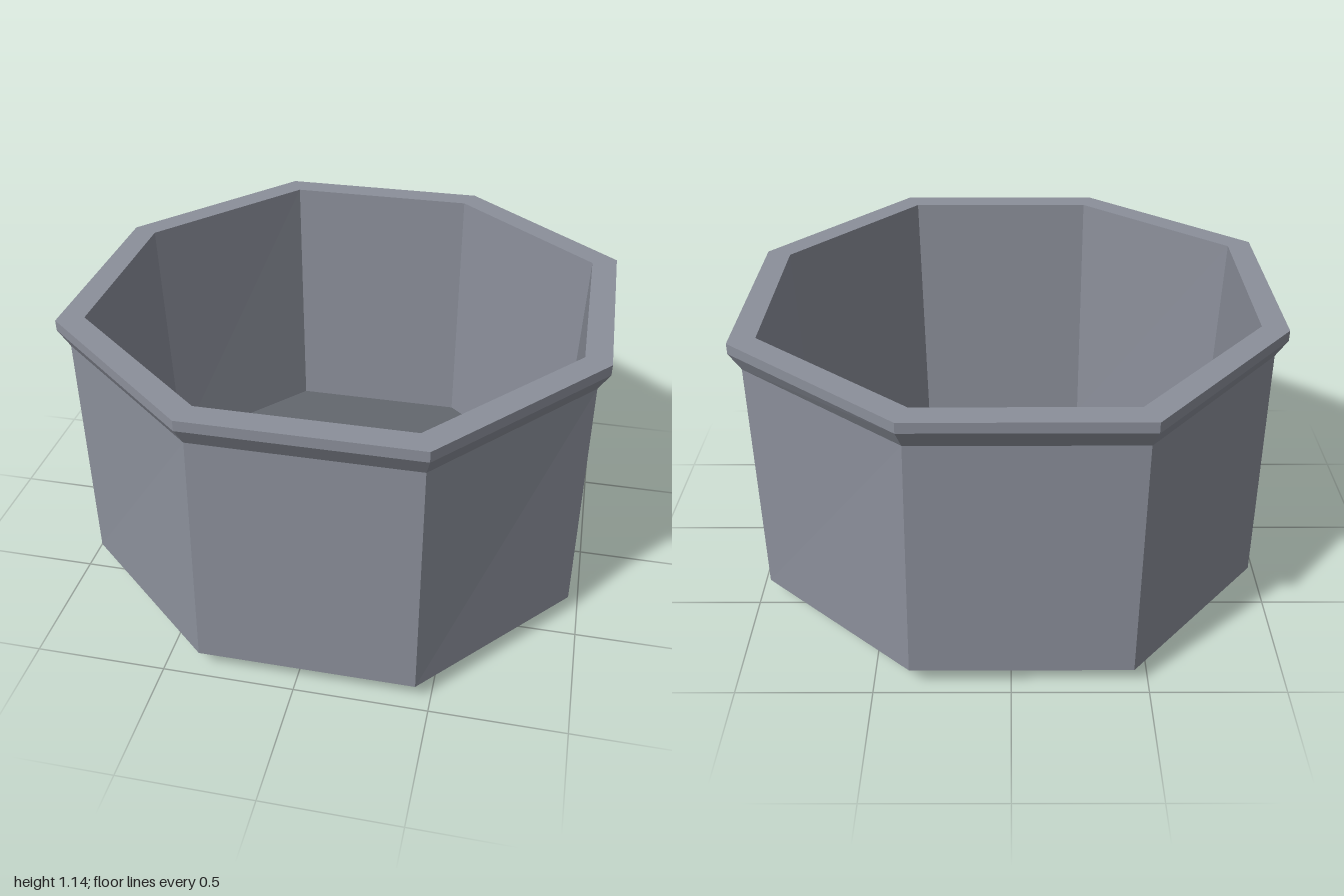
import * as THREE from 'three';

// One slightly twisted octagon: a = distance of the square-on sides,
// from -q to p along each of them; repeated in four quarter turns.
function ring([y, a, q, p]) {
  const points = [];
  for (let k = 0; k < 4; k++) {
    for (const s of [-q, p]) {
      let x = s, z = a;
      for (let i = 0; i < k; i++) [x, z] = [z, -x];
      points.push([x, y, z]);
    }
  }
  return points;
}

function geometryFrom(triangles) {
  const geometry = new THREE.BufferGeometry();
  geometry.setAttribute('position', new THREE.Float32BufferAttribute(triangles.flat(), 3));
  geometry.computeVertexNormals();
  return geometry;
}

// Flat-sided band through successive rings
function loft(profile) {
  const rings = profile.map(ring), tris = [];
  for (let r = 0; r < rings.length - 1; r++) {
    for (let i = 0; i < 8; i++) {
      const j = (i + 1) % 8, lo = rings[r], hi = rings[r + 1];
      tris.push(lo[i], lo[j], hi[j], lo[i], hi[j], hi[i]);
    }
  }
  return geometryFrom(tris);
}

// Flat octagon facing up or down
function cap(level, up) {
  const c = ring(level), tris = [];
  for (let i = 1; i < 7; i++) tris.push(c[0], ...(up ? [c[i], c[i + 1]] : [c[i + 1], c[i]]));
  return geometryFrom(tris);
}

export function createModel() {
  const stone = new THREE.MeshStandardMaterial({ color: 0x8b8f9a, flatShading: true });
  stone.name = 'grey';
  const dark = new THREE.MeshStandardMaterial({ color: 0x63676e, flatShading: true });
  dark.name = 'dark grey';

  // Levels: height, side distance, corner offsets
  const base = [0, 0.87, 0.335, 0.4];
  const foot = [0.07, 0.96, 0.37, 0.445];
  const neck = [1.03, 0.96, 0.35, 0.45];
  const lip = [1.1, 1, 0.365, 0.465];
  const top = [1.14, 1, 0.365, 0.465];
  const mouth = [1.14, 0.905, 0.33, 0.42];
  const floor = [0.08, 0.872, 0.33, 0.405];

  const group = new THREE.Group();
  group.name = 'octagonalTub';
  const add = (name, geometry, material) => {
    const mesh = new THREE.Mesh(geometry, material);
    mesh.name = name;
    group.add(mesh);
  };
  add('footBevel', loft([base, foot]), stone);
  add('outerWall', loft([foot, neck]), stone);
  add('rim', loft([neck, lip, top, mouth]), stone);
  add('innerWall', loft([mouth, floor]), stone);
  add('floor', cap(floor, true), dark);
  add('underside', cap(base, false), dark);
  return group;
}
